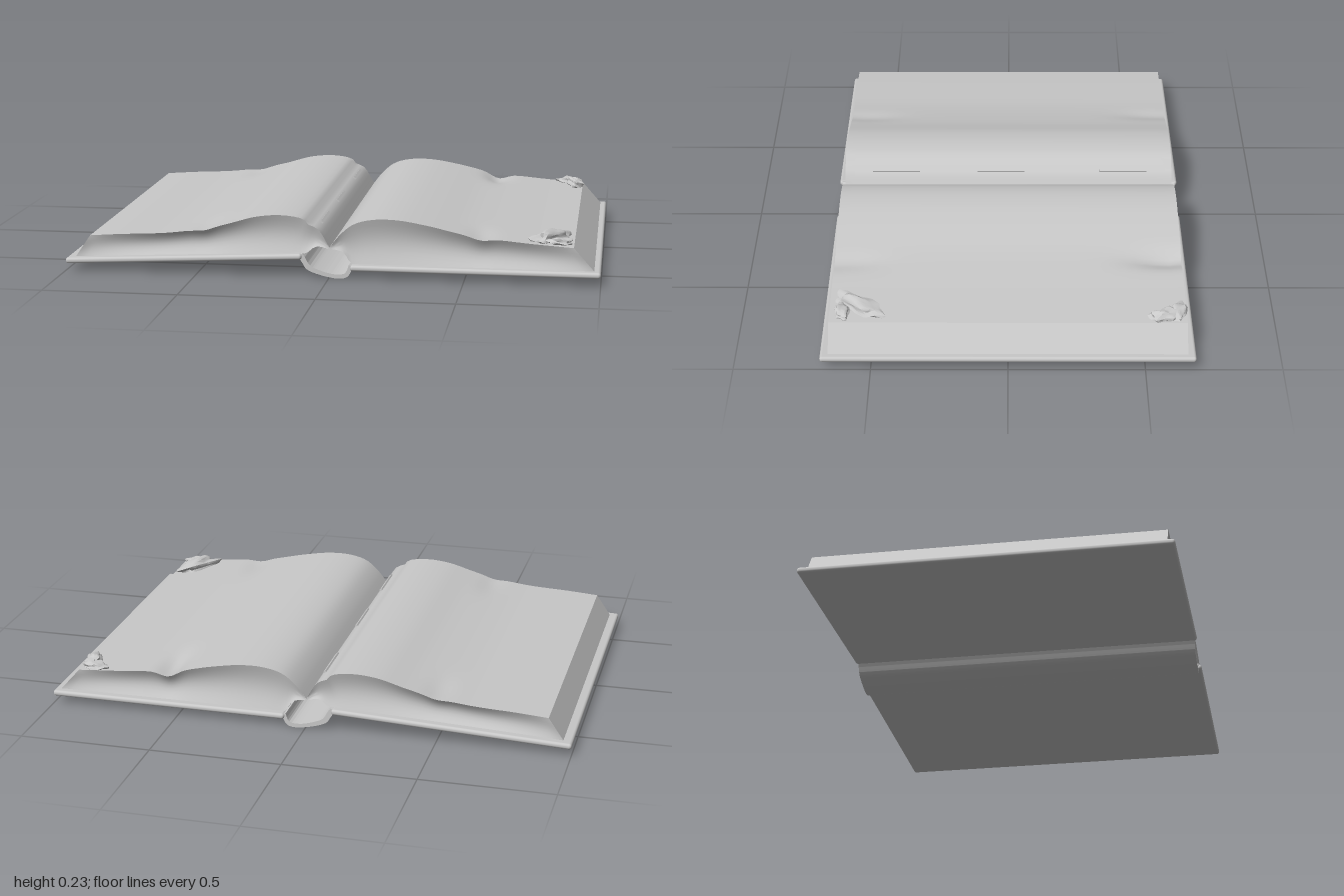
import * as THREE from 'three';
import { mergeGeometries, toCreasedNormals } from 'three/addons/utils/BufferGeometryUtils.js';
import { RoundedBoxGeometry } from 'three/addons/geometries/RoundedBoxGeometry.js';

const paper = new THREE.MeshStandardMaterial({ color: 0xc8c8c8 });
paper.name = 'pale grey';

const HALF = 0.655; // half length of the pages along z

function add(group, name, geometry) {
  const mesh = new THREE.Mesh(geometry, paper);
  mesh.name = name;
  group.add(mesh);
  return mesh;
}

const curve = (pts) => new THREE.CatmullRomCurve3(pts.map(([x, y]) => new THREE.Vector3(x, y, 0)), false, 'centripetal');

// Surface patch from fn(s, t) -> [x, y, z]; flip reverses its facing
function patch(fn, ns, nt, flip) {
  const pos = [], idx = [];
  for (let i = 0; i <= ns; i++) for (let j = 0; j <= nt; j++) pos.push(...fn(i / ns, j / nt));
  for (let i = 0; i < ns; i++) for (let j = 0; j < nt; j++) {
    const a = i * (nt + 1) + j, b = a + nt + 1;
    if (flip) idx.push(a, b + 1, b, a, a + 1, b + 1);
    else idx.push(a, b, b + 1, a, b + 1, a + 1);
  }
  const g = new THREE.BufferGeometry();
  g.setAttribute('position', new THREE.Float32BufferAttribute(pos, 3));
  g.setIndex(idx);
  return g;
}

// Block of pages between a wavy top curve and a bottom curve, from gutter to fore edge
function pageBlock(topPts, bottomPts, dents, flip) {
  const top = curve(topPts), bottom = curve(bottomPts);
  const point = (u, v, z) => {
    const t = top.getPointAt(u), p = bottom.getPointAt(u).lerp(t, v);
    let y = p.y;
    for (const [dx, dz, depth] of dents) {
      y -= v * depth * Math.exp(-(((p.x - dx) / 0.045) ** 2) - (((z - dz) / 0.13) ** 2));
    }
    return [p.x, y, z];
  };
  // the cut ends are slightly hollow
  const end = (u, v, side) => {
    const hollow = 0.022 * Math.sin(Math.PI * v) * Math.sqrt(Math.max(0, Math.sin(Math.PI * u)));
    const p = point(u, v, side * HALF);
    p[2] -= side * hollow;
    return p;
  };
  const along = (s) => (s * 2 - 1) * HALF;
  const parts = [
    patch((s, t) => point(t, 1, along(s)), 30, 48, flip),
    patch((s, t) => point(s, 0, along(t)), 48, 2, flip),
    patch((s, t) => end(s, t, 1), 48, 8, flip),
    patch((s, t) => end(t, s, -1), 8, 48, flip),
    patch((s, t) => point(1, s, along(t)), 4, 30, flip),
  ];
  return toCreasedNormals(mergeGeometries(parts), 0.6);
}

// Torn, crumpled scrap of a page corner
function crumple(sx, sy, sz, seed) {
  const g = new THREE.IcosahedronGeometry(1, 3);
  const p = g.attributes.position;
  for (let i = 0; i < p.count; i++) {
    const x = p.getX(i), y = p.getY(i), z = p.getZ(i);
    const k = 0.85 + 0.2 * Math.sin(4 * x + seed) * Math.cos(5 * z - seed) + 0.12 * Math.sin(7 * y + 3 * x + seed);
    p.setXYZ(i, x * k * sx, y * k * sy, z * k * sz);
  }
  return toCreasedNormals(g, 0.7);
}

export function createModel() {
  const book = new THREE.Group();
  book.name = 'openBook';

  // Pages
  add(book, 'rightPages', pageBlock(
    [[0, 0.115], [0.04, 0.165], [0.09, 0.205], [0.16, 0.224], [0.25, 0.225], [0.36, 0.208], [0.5, 0.178], [0.7, 0.155], [0.9, 0.14]],
    [[0.005, 0.11], [0.05, 0.1], [0.085, 0.055], [0.15, 0.053], [0.5, 0.052], [0.98, 0.05]],
    [[0.54, -0.6, 0.028], [0.56, 0.62, 0.012]], false));
  add(book, 'leftPages', pageBlock(
    [[0, 0.115], [-0.045, 0.185], [-0.08, 0.2], [-0.095, 0.218], [-0.17, 0.232], [-0.27, 0.225], [-0.4, 0.19], [-0.59, 0.156], [-0.8, 0.143], [-0.91, 0.135]],
    [[-0.005, 0.11], [-0.05, 0.118], [-0.09, 0.09], [-0.15, 0.086], [-0.5, 0.07], [-0.97, 0.048]],
    [[-0.49, -0.6, 0.01], [-0.47, 0.6, 0.01]], true));

  // Covers: the right lies flat, the left slopes up towards the spine
  const right = add(book, 'rightCover', new RoundedBoxGeometry(0.92, 0.022, 1.37, 3, 0.01));
  right.position.set(0.54, 0.044, 0);
  const left = add(book, 'leftCover', new RoundedBoxGeometry(0.9, 0.022, 1.37, 3, 0.01));
  left.position.set(-0.551, 0.061, 0);
  left.rotation.z = 0.046;

  // Curved spine shell hanging under the gutter
  const spine = new THREE.Shape();
  spine.moveTo(-0.12, 0.09);
  spine.splineThru([[-0.1, 0.06], [-0.08, 0.033], [-0.03, 0.014], [0.03, 0.003], [0.065, 0.008], [0.08, 0.025], [0.09, 0.05]]
    .map(([x, y]) => new THREE.Vector2(x, y)));
  spine.lineTo(0.075, 0.055);
  spine.splineThru([[0.06, 0.024], [0.02, 0.019], [-0.03, 0.031], [-0.07, 0.05], [-0.09, 0.082], [-0.1, 0.092]]
    .map(([x, y]) => new THREE.Vector2(x, y)));
  const spineGeometry = new THREE.ExtrudeGeometry(spine, { depth: 1.35, bevelEnabled: false, curveSegments: 24 });
  spineGeometry.translate(0, 0, -0.675);
  add(book, 'spine', toCreasedNormals(spineGeometry, 0.6));

  // Binding stitches in the gutter
  for (const z of [-0.46, 0.03, 0.45]) {
    const stitch = add(book, 'stitch', new THREE.BoxGeometry(0.012, 0.008, 0.19));
    stitch.position.set(-0.046, 0.186, z);
    stitch.rotation.z = -0.7;
  }

  // Crumpled corners of the right page: x, y, z, half sizes, turn, seed
  const scraps = [
    [0.81, 0.155, 0.55, 0.042, 0.034, 0.115, -0.6, 1],
    [0.845, 0.15, 0.61, 0.055, 0.02, 0.03, 0.2, 2],
    [0.845, 0.15, -0.625, 0.06, 0.022, 0.032, -0.2, 3],
    [0.87, 0.15, -0.57, 0.035, 0.03, 0.06, 0.3, 4],
  ];
  for (const [x, y, z, sx, sy, sz, turn, seed] of scraps) {
    const scrap = add(book, 'crumpledCorner', crumple(sx, sy, sz, seed));
    scrap.position.set(x, y, z);
    scrap.rotation.y = turn;
  }
  return book;
}
